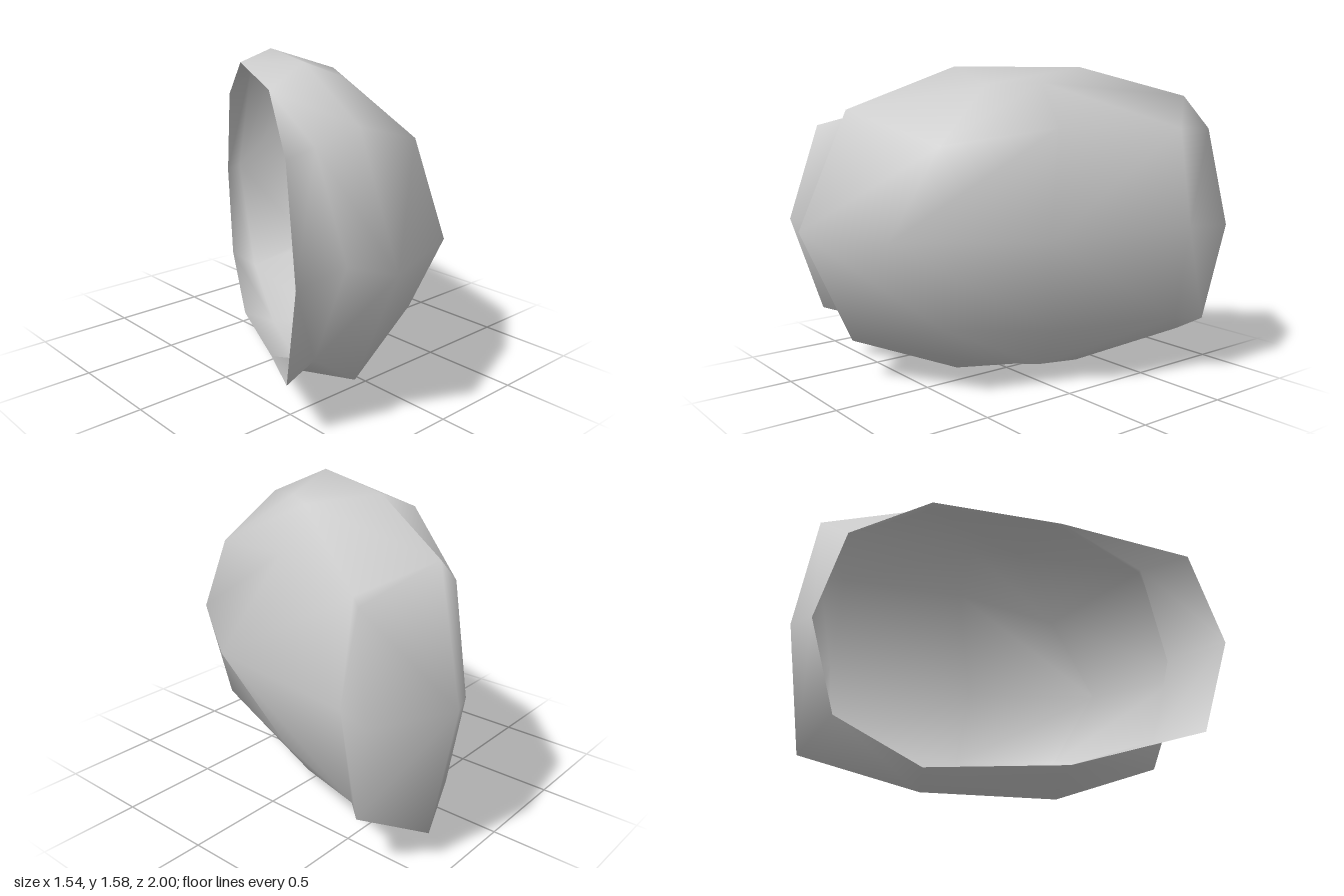
import * as THREE from 'three';

const MID = 0.79; // height of the mirror plane
const flip = ([x, h, z]) => [x, -h, z];

// Full bottom-to-top column from a half column starting on the mirror plane
const column = (half) => [...half.slice(1).reverse().map(flip), ...half];

// Closed ring from a half ring whose first and last points lie on the mirror plane
const ring = (half) => [...half, ...half.slice(1, -1).reverse().map(flip), half[0]];

export function createModel() {
  const group = new THREE.Group();
  group.name = 'curvedShell';
  const grey = new THREE.MeshStandardMaterial({ color: 0xcccccc, side: THREE.DoubleSide });
  grey.name = 'plain grey';

  // All parts share welded vertices, so shading runs smoothly from one to the next
  const positions = [];
  const lookup = new Map();
  const vertex = ([x, h, z]) => {
    const key = [x, h + 0, z].map((v) => v.toFixed(3)).join().replaceAll('-0.000', '0.000');
    if (!lookup.has(key)) {
      lookup.set(key, positions.length / 3);
      positions.push(x, h + MID, z);
    }
    return lookup.get(key);
  };

  // Triangles lofted through columns with equal point counts; repeated points make fans
  const loft = (columns) => {
    const index = [];
    const triangle = (a, b, c) => {
      if (a !== b && b !== c && c !== a) index.push(a, b, c);
    };
    const ids = columns.map((col) => col.map(vertex));
    for (let i = 0; i < ids.length - 1; i++) {
      const [p, q] = [ids[i], ids[i + 1]];
      for (let j = 0; j < p.length - 1; j++) {
        // mirror the diagonal so that both halves match
        if (j < (p.length - 1) / 2) {
          triangle(p[j], q[j], p[j + 1]);
          triangle(q[j], q[j + 1], p[j + 1]);
        } else {
          triangle(p[j], q[j], q[j + 1]);
          triangle(p[j], q[j + 1], p[j + 1]);
        }
      }
    }
    return index;
  };

  // Half rims as [x, height from the mirror plane, z], front end to back end
  const outer = [
    [-0.34, 0, 1.0], [-0.32, 0.58, 0.74], [-0.16, 0.79, 0.21],
    [0.13, 0.79, -0.38], [0.40, 0.64, -0.89], [0.38, 0, -1.0],
  ];
  const inner = [
    [-0.43, 0, 0.79], [-0.45, 0.49, 0.61], [-0.33, 0.67, 0.16],
    [-0.015, 0.72, -0.46], [0.185, 0.49, -0.83], [0.25, 0, -0.95],
  ];
  const crease = [[0.70, 0, -0.62], [0.62, 0.485, -0.62], [0.62, 0.485, -0.62], outer[4]];

  const parts = {
    // Bulging front, open at the back so that its inside forms the hollow
    frontShell: loft([
      [outer[0], outer[1], outer[1], outer[1]],
      [[0.18, 0, 0.81], [0.24, 0.43, 0.56], [0.10, 0.70, 0.20], outer[2]],
      [[0.60, 0, 0.22], [0.40, 0.50, 0], [0.25, 0.71, -0.02], outer[3]],
      crease,
    ].map(column)),

    // Raised lip and plate closing the back end
    endLip: loft([
      crease,
      [[0.77, 0, -0.81], [0.71, 0.485, -0.72], [0.71, 0.485, -0.72], outer[4]],
      [outer[5], outer[5], outer[4], outer[4]],
    ].map(column)),

    // Side wall between the two rims
    sideWall: loft([ring(inner), ring(outer)]),

    // Flap reaching out from the front end
    flap: loft([
      [[-0.77, 0, 0.85], [-0.70, 0.49, 0.71], inner[2]],
      [inner[0], inner[1], inner[2]],
    ].map(column)),
  };

  // Normals are found once for the whole skin, then shared by the parts
  const skin = new THREE.BufferGeometry();
  skin.setAttribute('position', new THREE.Float32BufferAttribute(positions, 3));
  skin.setIndex(Object.values(parts).flat());
  skin.computeVertexNormals();

  for (const [name, index] of Object.entries(parts)) {
    const geometry = new THREE.BufferGeometry();
    geometry.setAttribute('position', skin.getAttribute('position'));
    geometry.setAttribute('normal', skin.getAttribute('normal'));
    geometry.setIndex(index);
    const mesh = new THREE.Mesh(geometry, grey);
    mesh.name = name;
    group.add(mesh);
  }
  return group;
}
